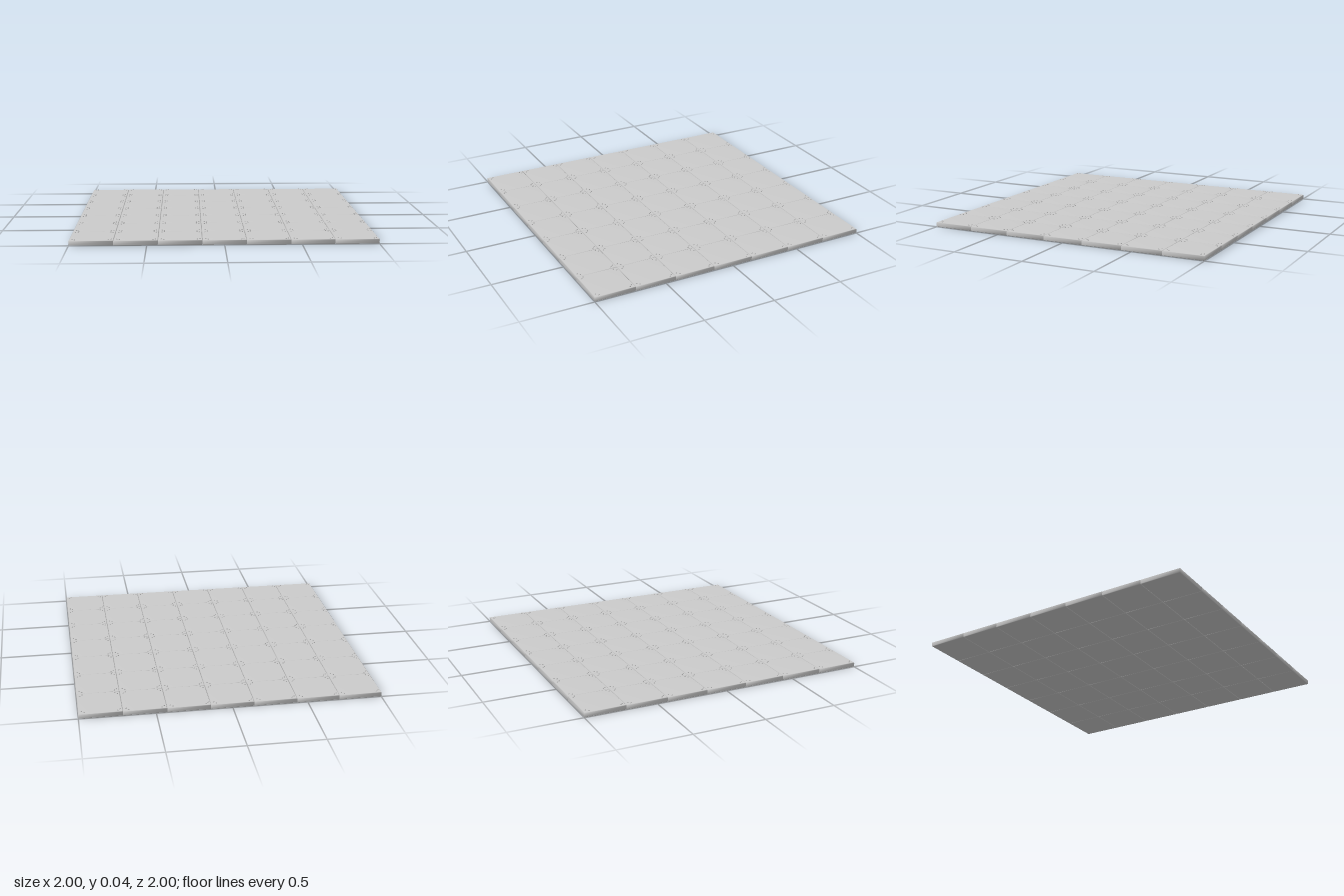
import * as THREE from 'three';
import { mergeGeometries, mergeVertices } from 'three/addons/utils/BufferGeometryUtils.js';

const COUNT = 7;
const PITCH = 2 / COUNT;
const HEIGHT = 0.033;
const BEVEL = 0.004;

// Square plate with bevelled rims, sharing normals across its edges
function plateGeometry() {
  const geo = new THREE.BoxGeometry(PITCH, HEIGHT, PITCH, 1, 3, 1);
  geo.translate(0, HEIGHT / 2, 0);
  const levels = [0, BEVEL, HEIGHT - BEVEL, HEIGHT];
  const p = geo.attributes.position;
  for (let i = 0; i < p.count; i++) {
    const level = Math.round(p.getY(i) / HEIGHT * 3);
    const half = PITCH / 2 - (level === 0 || level === 3 ? BEVEL : 0);
    p.setXYZ(i, Math.sign(p.getX(i)) * half, levels[level], Math.sign(p.getZ(i)) * half);
  }
  geo.deleteAttribute('normal');
  geo.deleteAttribute('uv');
  const welded = mergeVertices(geo, 1e-5);
  welded.computeVertexNormals();
  return welded;
}

// Two small studs beside every corner of a plate
function studsGeometry() {
  const studs = [];
  for (const sx of [-1, 1]) {
    for (const sz of [-1, 1]) {
      for (const [dx, dz] of [[0.019, 0.035], [0.035, 0.019]]) {
        const stud = new THREE.CylinderGeometry(0.005, 0.008, 0.006, 8);
        stud.translate(sx * (PITCH / 2 - dx), HEIGHT + 0.002, sz * (PITCH / 2 - dz));
        studs.push(stud);
      }
    }
  }
  return mergeGeometries(studs);
}

export function createModel() {
  const model = new THREE.Group();
  model.name = 'tiledFloor';
  const material = new THREE.MeshStandardMaterial({ color: 0xcccccc });
  const plateGeo = plateGeometry();
  const studsGeo = studsGeometry();

  // Grid of identical floor tiles
  for (let row = 0; row < COUNT; row++) {
    for (let col = 0; col < COUNT; col++) {
      const tile = new THREE.Group();
      tile.name = 'floorTile';
      const plate = new THREE.Mesh(plateGeo, material);
      plate.name = 'plate';
      const studs = new THREE.Mesh(studsGeo, material);
      studs.name = 'cornerStuds';
      tile.add(plate, studs);
      tile.position.set((col - (COUNT - 1) / 2) * PITCH, 0, (row - (COUNT - 1) / 2) * PITCH);
      model.add(tile);
    }
  }
  return model;
}
